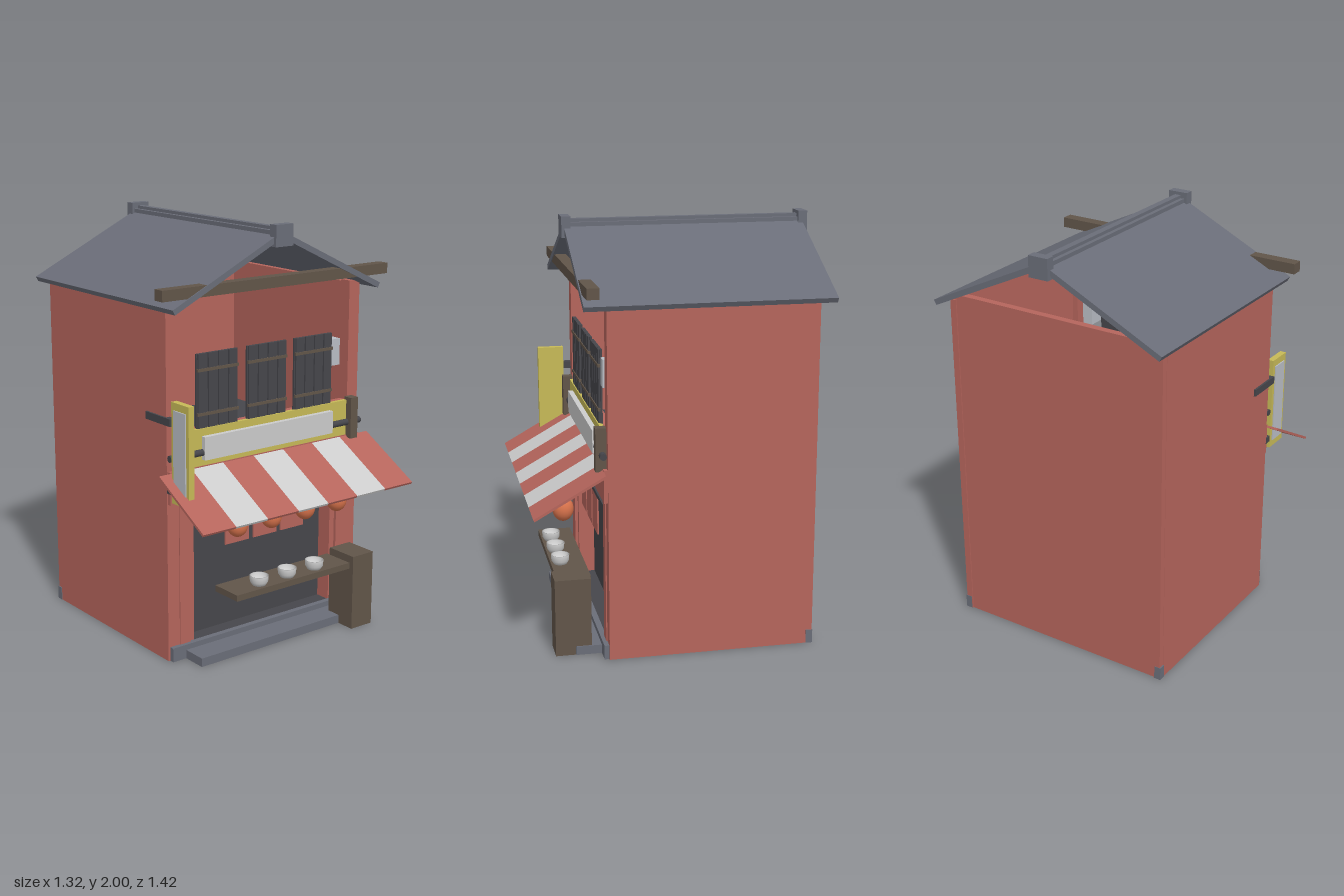
import * as THREE from 'three';

const mat = (color) => new THREE.MeshStandardMaterial({ color, side: THREE.DoubleSide });
const red = mat(0xb5655c), slate = mat(0x6a6d78), dark = mat(0x46464b), brown = mat(0x615549);
const white = mat(0xdededa), yellow = mat(0xc6b957), orange = mat(0xd8734c), pale = mat(0xb9bdc4);

export function createModel() {
  const model = new THREE.Group();

  const add = (name, geometry, material, x = 0, y = 0, z = 0) => {
    const mesh = new THREE.Mesh(geometry, material);
    mesh.name = name;
    mesh.position.set(x, y, z);
    model.add(mesh);
    return mesh;
  };
  // Box given by its limits on each axis
  const box = (name, material, x0, x1, y0, y1, z0, z1) =>
    add(name, new THREE.BoxGeometry(x1 - x0, y1 - y0, z1 - z0), material,
      (x0 + x1) / 2, (y0 + y1) / 2, (z0 + z1) / 2);
  // The same box on both sides of x = 0
  const pair = (name, material, x0, x1, y0, y1, z0, z1) => {
    box(name, material, x0, x1, y0, y1, z0, z1);
    box(name, material, -x1, -x0, y0, y1, z0, z1);
  };

  // Shell: open under the gables and at the front of the upper floor
  box('backWall', red, -0.55, 0.55, 0, 1.69, -0.615, -0.58);
  pair('sideWall', red, 0.54, 0.575, 0, 1.665, -0.59, 0.36);
  pair('backCornerPost', red, 0.54, 0.573, 0, 1.665, -0.62, -0.59);
  pair('backCornerFoot', slate, 0.545, 0.578, 0, 0.065, -0.622, -0.59);
  pair('frontCornerPost', red, 0.51, 0.573, 0, 1.68, 0.3, 0.36);
  pair('shopPier', red, 0.45, 0.51, 0.04, 0.8, 0.29, 0.365);
  pair('shopJamb', red, 0.42, 0.45, 0.04, 0.8, 0.26, 0.35);
  box('lintel', red, -0.57, 0.57, 0.765, 0.92, 0.31, 0.378);
  box('sillBand', red, -0.51, 0.51, 0.92, 1.09, 0.31, 0.36);
  box('groundFloor', dark, -0.54, 0.54, 0.02, 0.06, -0.58, 0.36);
  box('upperFloor', dark, -0.54, 0.54, 0.88, 0.91, -0.58, 0.31);
  box('shopBackPanel', dark, -0.45, 0.45, 0.06, 0.88, 0.25, 0.27);

  // Plinth and step
  box('plinth', slate, -0.565, 0.565, 0, 0.068, 0.355, 0.383);
  box('step', slate, -0.49, 0.49, 0, 0.042, 0.383, 0.505);

  // Upper lattice windows
  for (const x of [-0.2925, -0.0025, 0.2825]) {
    box('windowPanel', dark, x - 0.117, x + 0.117, 1.09, 1.44, 0.352, 0.362);
    for (let i = 0; i < 4; i++) {
      const bx = x - 0.0875 + i * 0.0583;
      box('windowBar', dark, bx - 0.024, bx + 0.024, 1.09, 1.44, 0.362, 0.37);
    }
    for (const y of [1.16, 1.365])
      box('windowRail', brown, x - 0.117, x + 0.117, y - 0.007, y + 0.007, 0.36, 0.374);
  }
  box('wallUnit', pale, 0.4, 0.455, 1.275, 1.405, 0.27, 0.36);

  // Sign board between two brown posts, with a rod across
  box('signBoard', yellow, -0.5, 0.5, 0.91, 1.095, 0.355, 0.375);
  box('signPanel', white, -0.39, 0.385, 0.95, 1.06, 0.375, 0.4);
  pair('signPost', brown, 0.493, 0.538, 0.905, 1.11, 0.36, 0.41);
  const rod = add('signRod', new THREE.CylinderGeometry(0.016, 0.016, 1.15, 12), dark, 0, 0.985, 0.38);
  rod.rotation.z = Math.PI / 2;

  // Hanging sign on the right-hand corner
  box('hangingSign', yellow, -0.576, -0.546, 0.785, 1.255, 0.4, 0.53);
  box('hangingSignPanel', pale, -0.582, -0.576, 0.82, 1.22, 0.42, 0.51);
  box('hangingSignBracket', dark, -0.585, -0.555, 1.14, 1.175, 0.21, 0.4);
  box('hangingSignBracket', dark, -0.575, -0.55, 0.82, 0.85, 0.34, 0.4);

  // Striped sloping awning
  const awning = new THREE.Group();
  awning.name = 'awning';
  const [backY, backZ, frontY, frontZ] = [0.91, 0.375, 0.726, 0.705];
  const drop = backY - frontY, reach = frontZ - backZ;
  for (let i = 0; i < 7; i++) {
    const stripe = new THREE.Mesh(
      new THREE.BoxGeometry(0.18, 0.012, Math.hypot(drop, reach)), i % 2 ? white : red);
    stripe.name = 'awningStripe';
    stripe.position.x = (i - 3) * 0.18;
    awning.add(stripe);
  }
  awning.position.set(0, (backY + frontY) / 2, (backZ + frontZ) / 2);
  awning.rotation.x = Math.atan2(drop, reach);
  model.add(awning);

  // Lanterns
  for (const x of [-0.305, -0.105, 0.1, 0.3])
    add('lantern', new THREE.SphereGeometry(0.05, 20, 14), orange, x, 0.665, 0.53).scale.y = 1.2;

  // Door curtains on a rail
  box('curtainRail', dark, -0.45, 0.45, 0.69, 0.71, 0.345, 0.36);
  for (const x of [-0.17, 0, 0.168])
    box('curtain', red, x - 0.071, x + 0.071, 0.5, 0.695, 0.35, 0.358);

  // Counter shelf with bowls, and the stand beside it
  box('counterShelf', brown, -0.34, 0.355, 0.308, 0.338, 0.41, 0.575);
  const bowlProfile = [[0, 0], [0.032, 0], [0.043, 0.018], [0.045, 0.046], [0.04, 0.046], [0.036, 0.02], [0, 0.012]]
    .map(([r, y]) => new THREE.Vector2(r, y));
  for (const x of [-0.175, -0.005, 0.165])
    add('bowl', new THREE.LatheGeometry(bowlProfile, 20), white, x, 0.34, 0.53);
  box('stand', brown, 0.355, 0.485, 0, 0.375, 0.43, 0.6);

  // Roof: one gabled cross-section run along z
  const roofShape = new THREE.Shape([
    [-0.61, 1.675], [0, 1.968], [0.61, 1.675], [0.597, 1.652], [0, 1.938], [-0.597, 1.652],
  ].map(([x, y]) => new THREE.Vector2(x, y)));
  add('roof', new THREE.ExtrudeGeometry(roofShape, { depth: 1.155, bevelEnabled: false }), slate, 0, 0, -0.69);
  box('ridgeCap', slate, -0.036, 0.036, 1.945, 1.97, -0.69, 0.46);
  box('ridgeCapTop', slate, -0.016, 0.016, 1.965, 1.985, -0.69, 0.46);
  for (const z of [-0.688, 0.457])
    box('ridgeEnd', slate, -0.05, 0.05, 1.9, 2, z - 0.022, z + 0.022);
  box('frontBeam', brown, -0.66, 0.66, 1.715, 1.765, 0.403, 0.46);

  return model;
}
